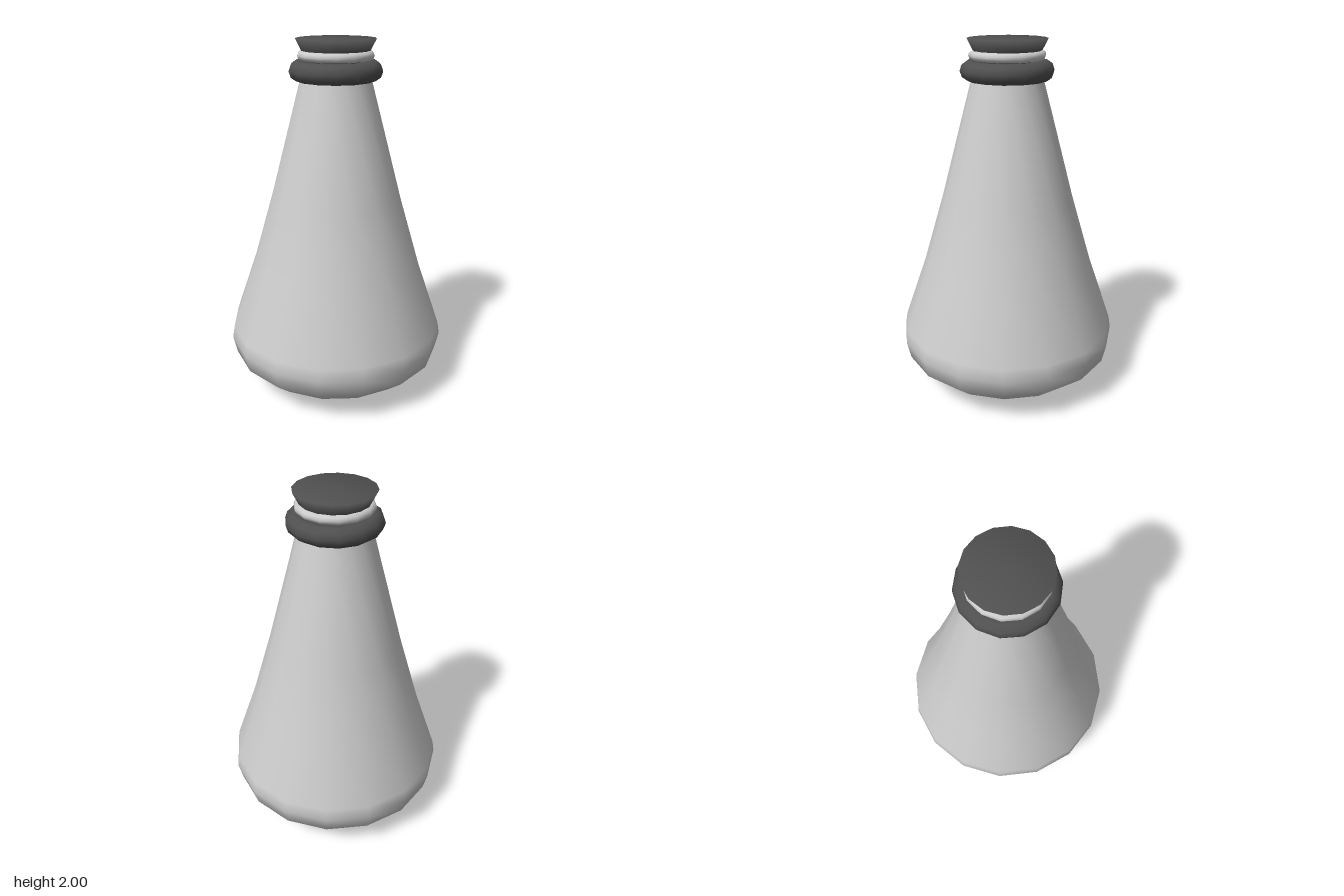
import * as THREE from 'three';

const glass = new THREE.MeshStandardMaterial({ color: 0xcccccc });
const dark = new THREE.MeshStandardMaterial({ color: 0x505050 });
const pale = new THREE.MeshStandardMaterial({ color: 0xe4e4e4 });

// Surface of revolution from [radius, height] pairs, listed bottom to top
function lathe(name, profile, sides, material) {
  const points = profile.map(([r, y]) => new THREE.Vector2(r, y));
  const mesh = new THREE.Mesh(new THREE.LatheGeometry(points, sides), material);
  mesh.name = name;
  return mesh;
}

// Horizontal ring with a slightly flattened or stretched section
function ring(name, radius, tube, y, height, material) {
  const geometry = new THREE.TorusGeometry(radius, tube, 10, 14);
  geometry.rotateX(-Math.PI / 2);
  geometry.scale(1, height / (2 * tube), 1);
  const mesh = new THREE.Mesh(geometry, material);
  mesh.position.y = y;
  mesh.name = name;
  return mesh;
}

export function createModel() {
  const model = new THREE.Group();
  model.name = 'flask';

  // Conical body with a rounded shoulder near the foot
  model.add(lathe('body', [
    [0.31, 0], [0.335, 0.03], [0.5, 0.1], [0.605, 0.19], [0.628, 0.29],
    [0.617, 0.36], [0.485, 0.74], [0.37, 1.13], [0.195, 1.79], [0.175, 1.87],
  ], 16, glass));

  // Flat base with a crisp edge
  model.add(lathe('base', [[0, 0], [0.31, 0]], 16, glass));

  // Neck rings
  model.add(ring('collar', 0.2, 0.057, 1.833, 0.11, dark));
  model.add(ring('neckRing', 0.18, 0.03, 1.913, 0.052, pale));

  // Flared stopper, softly shaded over its rim
  model.add(lathe('stopper', [[0.15, 1.88], [0.185, 1.935], [0.218, 2], [0, 2]], 16, dark));

  return model;
}
